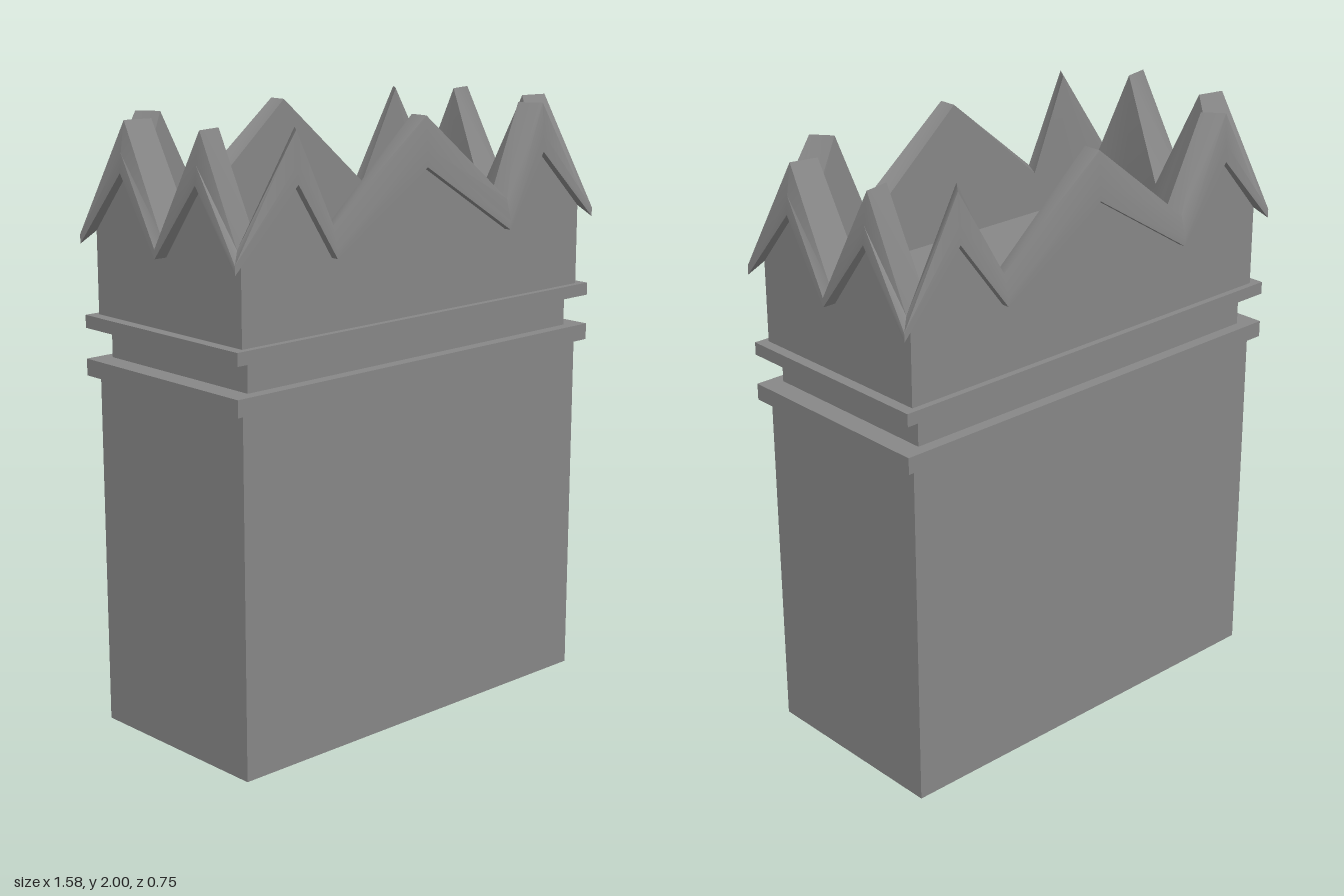
import * as THREE from 'three';
import { toCreasedNormals } from 'three/addons/utils/BufferGeometryUtils.js';

export function createModel() {
  const model = new THREE.Group();
  const material = new THREE.MeshStandardMaterial({ color: 0x878787 });
  const add = (name, geometry) => {
    const mesh = new THREE.Mesh(geometry, material);
    mesh.name = name;
    model.add(mesh);
    return mesh;
  };
  const block = (name, hx, hz, y0, y1) => {
    add(name, new THREE.BoxGeometry(hx * 2, y1 - y0, hz * 2)).position.y = (y0 + y1) / 2;
  };

  // Rectangular body with two projecting bands and a recessed neck
  block('body', 0.745, 0.348, 0, 1.175);
  block('lowerBand', 0.782, 0.37, 1.175, 1.23);
  block('neck', 0.71, 0.33, 1.23, 1.33);
  block('upperBand', 0.782, 0.37, 1.33, 1.372);

  // Stations around the rim: alternating corners, peaks and valleys
  const stations = [];
  const wall = (axis, sign, dir, marks) => marks.forEach(([t, inner, peak, hi], i) => {
    stations.push({ axis, sign, t: t * dir, inner: inner * dir, peak, hi, corner: i === 0 });
  });
  const longWall = (p) => [
    [-1, -1, false, 1.67], [-p, -p + 0.05, true, 2], [-0.385, -0.36, false, 1.7],
    [0, 0, true, 2], [0.385, 0.36, false, 1.7], [p, p - 0.05, true, 2],
  ];
  const shortWall = [
    [-1, -1, false, 1.67], [-0.18, -0.16, true, 2], [0, 0, false, 1.67], [0.18, 0.16, true, 2],
  ];
  wall('x', 1, 1, longWall(0.54));
  wall('z', 1, -1, shortWall);
  wall('x', -1, -1, longWall(0.57));
  wall('z', -1, 1, shortWall);

  // Cross-section at one station: outer wall, lip, top of wall, inner wall
  const section = (s) => {
    const lo = s.peak ? 1.84 : 1.6;
    const innerX = s.peak ? 0.665 : 0.64;
    const rows = [
      [0.745, 0.348, 1.37],
      [0.745, 0.348, s.corner ? 1.64 : lo],
      s.peak ? [0.775, 0.372, lo] : [0.79, 0.374, lo],
      s.peak ? [0.77, 0.37, 1.9] : [0.79, 0.374, lo + 0.03],
      s.peak ? [0.755, 0.363, 2] : [0.765, 0.355, s.hi],
      [innerX, 0.30, s.peak ? 2 : s.hi - 0.01],
      [innerX, 0.30, 1.55],
    ];
    return rows.map(([hx, hz, y], k) => {
      const t = k >= 5 ? s.inner : s.t;
      if (s.axis === 'x') return [s.corner ? t * hx : t, y, s.sign * hz];
      return [s.sign * hx, y, s.corner ? t * hz : t];
    });
  };

  // Crown walls lofted around the rim
  const loops = stations.map(section);
  const positions = [];
  loops.forEach((a, i) => {
    const b = loops[(i + 1) % loops.length];
    for (let k = 0; k < a.length - 1; k++) {
      positions.push(...a[k], ...b[k], ...b[k + 1], ...a[k], ...b[k + 1], ...a[k + 1]);
    }
  });
  const crown = new THREE.BufferGeometry();
  crown.setAttribute('position', new THREE.Float32BufferAttribute(positions, 3));
  add('crown', toCreasedNormals(crown, Math.PI / 5));

  // Sunken floor inside the crown
  const floor = new THREE.PlaneGeometry(1.34, 0.6).rotateX(-Math.PI / 2);
  add('crownFloor', floor).position.y = 1.55;

  return model;
}
